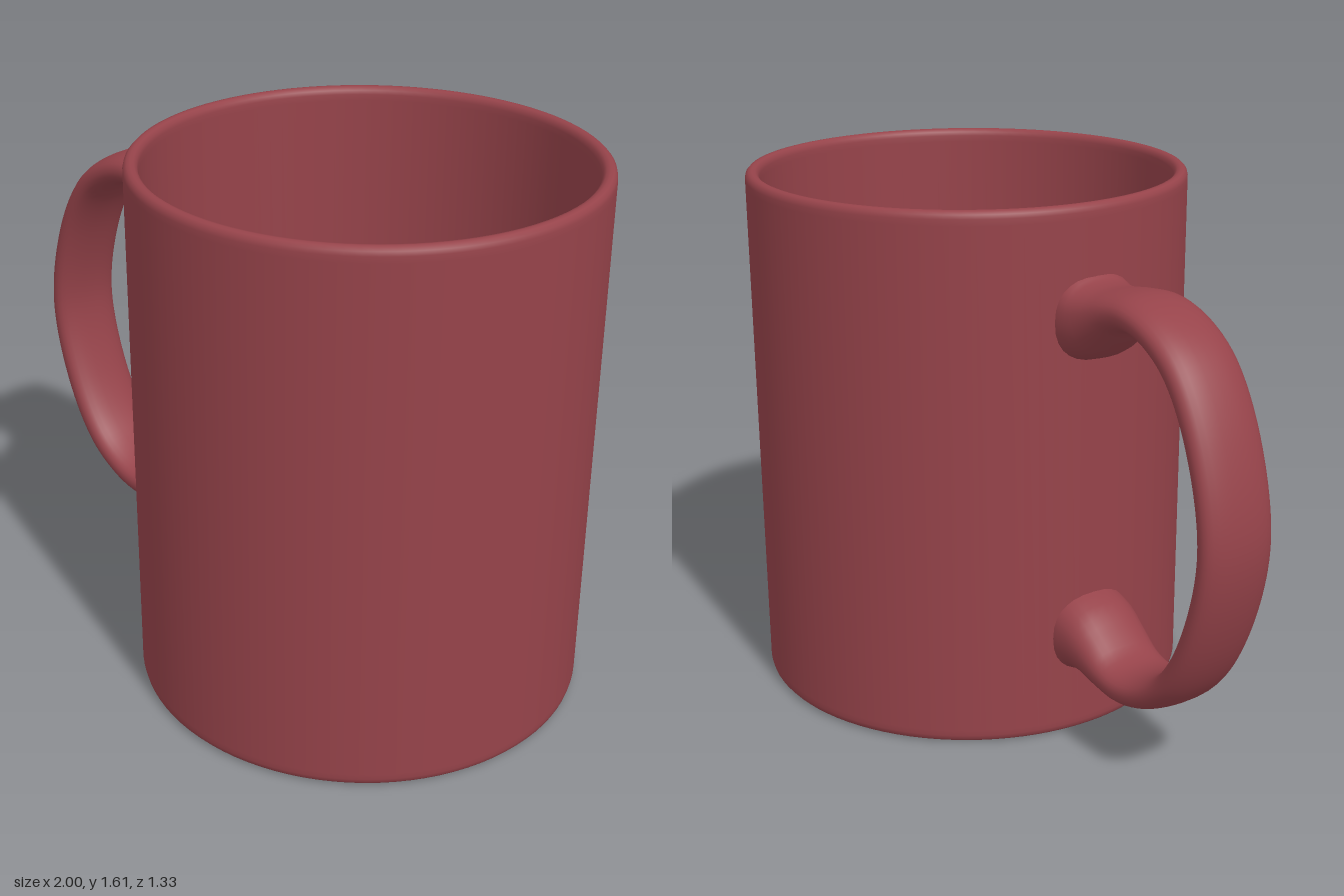
import * as THREE from 'three';

const red = new THREE.MeshStandardMaterial({ color: 0x96434a });
red.name = 'red glaze';
const clay = new THREE.MeshStandardMaterial({ color: 0xd2c4b6 });
clay.name = 'bare clay';

const AXIS_X = 0.333;

// Turned part around the axis of the cup; points run [radius, height]
function turned(name, points, material) {
  const geometry = new THREE.LatheGeometry(points.map(([r, y]) => new THREE.Vector2(r, y)), 96);
  const mesh = new THREE.Mesh(geometry, material);
  mesh.name = name;
  mesh.position.x = AXIS_X;
  return mesh;
}

// Flattened tube swept along the handle path, flaring where it meets the cup
function handleGeometry() {
  // x, height above the middle, half thickness
  const upper = [
    [-0.315, 0.483, 0.128], [-0.36, 0.487, 0.112], [-0.42, 0.507, 0.085], [-0.5, 0.54, 0.06],
    [-0.58, 0.552, 0.053], [-0.68, 0.527, 0.05], [-0.79, 0.45, 0.049], [-0.895, 0.27, 0.047],
  ];
  const lower = upper.map(([x, y, a]) => [x, -y, a]).reverse();
  const path = new THREE.CatmullRomCurve3(
    [...upper, [-0.954, 0, 0.046], ...lower].map((p) => new THREE.Vector3(...p)));
  const rings = 80, sides = 28, middle = 0.803, zMid = 0.008;
  const round = (v) => Math.sign(v) * Math.abs(v) ** 0.85;
  const position = [], index = [];
  for (let i = 0; i <= rings; i++) {
    const p = path.getPointAt(i / rings);
    const t = path.getTangentAt(i / rings).setZ(0).normalize();
    const thick = p.z, wide = 0.116 + 0.27 * Math.max(0, thick - 0.055);
    for (let j = 0; j < sides; j++) {
      const angle = (j / sides) * Math.PI * 2;
      const c = round(Math.cos(angle)) * thick, s = round(Math.sin(angle)) * wide;
      // The end rings stay upright inside the wall
      const x = i === 0 || i === rings ? -0.315 : Math.min(p.x - t.y * c, -0.315);
      position.push(x, middle + p.y + t.x * c, zMid + s);
      if (i < rings) {
        const k = (j + 1) % sides, a = i * sides, b = a + sides;
        index.push(a + j, a + k, b + k, a + j, b + k, b + j);
      }
    }
  }
  const geometry = new THREE.BufferGeometry();
  geometry.setAttribute('position', new THREE.Float32BufferAttribute(position, 3));
  geometry.setIndex(index);
  geometry.computeVertexNormals();
  return geometry;
}

export function createModel() {
  const mug = new THREE.Group();
  mug.name = 'mug';

  // Recessed underside
  mug.add(turned('underside', [[0, 0.025], [0.59, 0.025], [0.603, 0.022], [0.612, 0.006]], red));

  // Unglazed foot ring
  mug.add(turned('footRing', [[0.612, 0.006], [0.62, 0], [0.648, 0], [0.658, 0.005]], clay));

  // Outer wall, rounded rim and inner wall
  mug.add(turned('body', [
    [0.658, 0.005], [0.664, 0.012], [0.667, 0.024], [0.667, 0.04],
    [0.667, 1.57], [0.667, 1.588], [0.664, 1.6], [0.656, 1.608], [0.646, 1.61],
    [0.636, 1.608], [0.628, 1.6], [0.625, 1.588], [0.625, 1.57],
    [0.625, 0.1], [0.625, 0.085], [0.621, 0.073], [0.61, 0.066], [0.59, 0.065], [0, 0.065],
  ], red));

  const handle = new THREE.Mesh(handleGeometry(), red);
  handle.name = 'handle';
  mug.add(handle);
  return mug;
}
